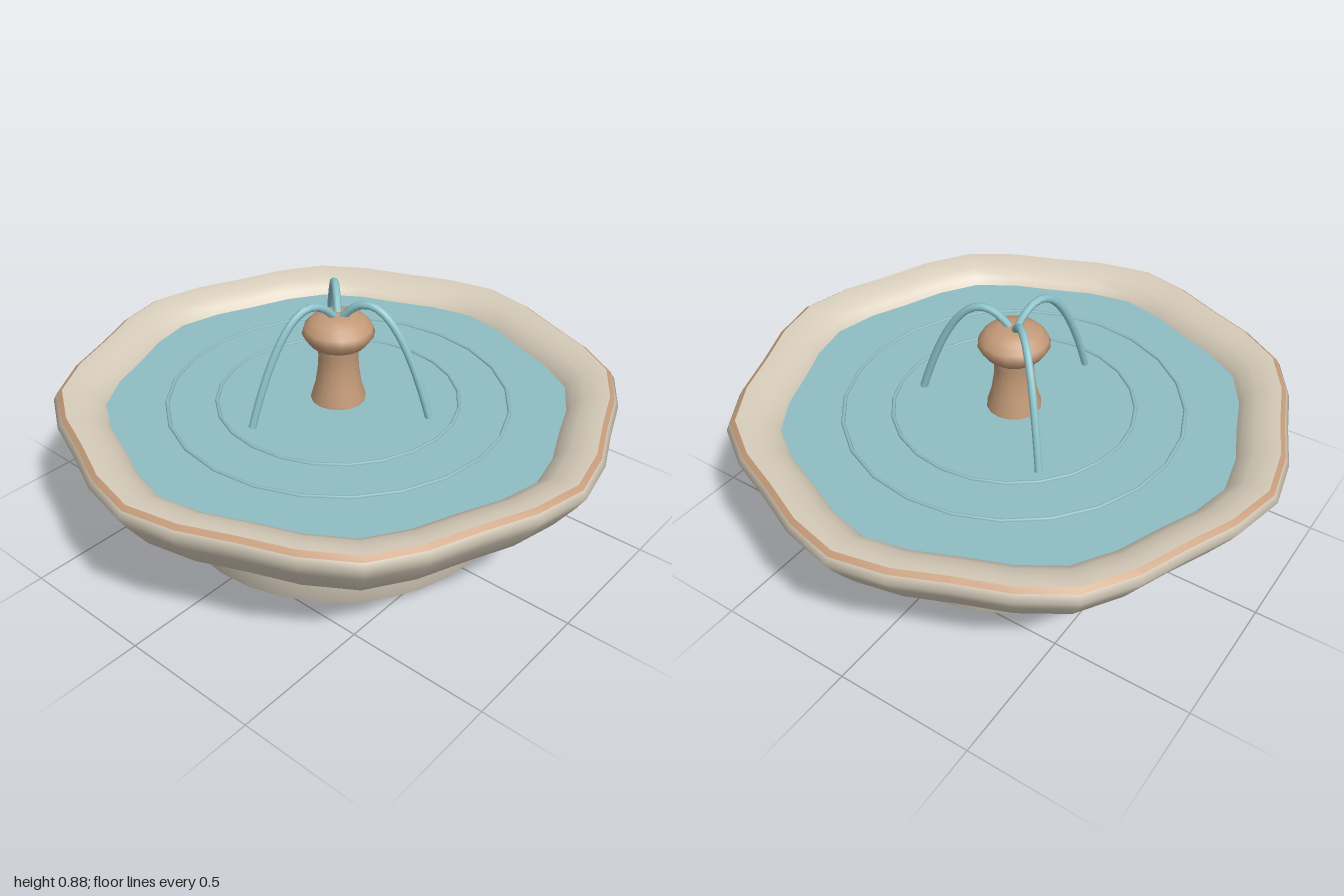
import * as THREE from 'three';
import { mergeVertices } from 'three/addons/utils/BufferGeometryUtils.js';

const material = (name, color) => Object.assign(new THREE.MeshStandardMaterial({ color }), { name });

// Lathe with eight soft lobes that fade in between the heights lobeFrom and lobeTo
function lobedLathe(profile, segments = 32, lobeFrom = 0.13, lobeTo = 0.36) {
  const geo = new THREE.LatheGeometry(profile.map(([r, y]) => new THREE.Vector2(r, y)), segments);
  const p = geo.attributes.position;
  for (let i = 0; i < p.count; i++) {
    const amount = THREE.MathUtils.smoothstep(p.getY(i), lobeFrom, lobeTo);
    const s = 1 - 0.0225 * amount * (1 - Math.cos(8 * Math.atan2(p.getX(i), p.getZ(i))));
    p.setX(i, p.getX(i) * s);
    p.setZ(i, p.getZ(i) * s);
  }
  geo.deleteAttribute('normal');
  geo.deleteAttribute('uv');
  const welded = mergeVertices(geo);
  welded.computeVertexNormals();
  return welded;
}

export function createModel() {
  const group = new THREE.Group();
  const stone = material('stone', 0xd6ccba);
  const clay = material('clay', 0xc39a78);
  const water = material('water', 0x8fbdc3);
  const jetWater = material('jet water', 0x8cc3ca);

  const add = (name, geo, mat) => {
    const mesh = new THREE.Mesh(geo, mat);
    mesh.name = name;
    group.add(mesh);
    return mesh;
  };

  // Underside, foot and flaring outer wall
  add('foot', lobedLathe([[0, 0], [0.49, 0.003]]), stone);
  add('bowlOuter', lobedLathe([[0.49, 0.003], [0.57, 0.02], [0.61, 0.05], [0.6, 0.12], [0.62, 0.15],
    [0.69, 0.21], [0.9, 0.36], [0.97, 0.46], [1, 0.51], [0.985, 0.535]]), stone);

  // Coloured bevel around the rim, then the inner wall
  add('rimBand', lobedLathe([[0.985, 0.535], [0.967, 0.547]]), clay);
  add('bowlInner', lobedLathe([[0.967, 0.547], [0.93, 0.545], [0.88, 0.53], [0.84, 0.505],
    [0.815, 0.47], [0.79, 0.42]]), stone);

  // Water surface with two ripples
  const level = 0.48;
  add('waterSurface', lobedLathe([[0.822, level], [0, level]]), water);
  for (const r of [0.432, 0.608]) {
    const ripple = add('ripple', new THREE.TorusGeometry(r, 0.007, 6, 24), water);
    ripple.rotation.x = Math.PI / 2;
    ripple.position.y = level;
  }

  // Central pedestal with a mushroom-shaped cap
  add('pedestal', lobedLathe([[0.1, 0.46], [0.097, 0.49], [0.082, 0.54], [0.073, 0.6], [0.07, 0.65],
    [0.078, 0.7]], 16, 9, 10), clay);
  add('pedestalCap', lobedLathe([[0.06, 0.69], [0.1, 0.7], [0.127, 0.738], [0.12, 0.762], [0.095, 0.79],
    [0.055, 0.805], [0, 0.808]], 16, 9, 10), clay);

  // Three jets on parabolic arcs: heading in degrees from +x towards +z, and reach
  for (const [heading, reach] of [[-16.2, 0.345], [103.8, 0.36], [223.8, 0.38]]) {
    const a = THREE.MathUtils.degToRad(heading);
    const peak = 0.32 * reach, top = 0.863;
    const k = (top - level) / (reach - peak) ** 2;
    const points = [];
    for (let i = 0; i <= 12; i++) {
      const r = 0.018 + (reach - 0.018) * i / 12;
      points.push(new THREE.Vector3(r * Math.cos(a), top - k * (r - peak) ** 2, r * Math.sin(a)));
    }
    add('waterJet', new THREE.TubeGeometry(new THREE.CatmullRomCurve3(points), 20, 0.014, 8), jetWater);
  }
  return group;
}
